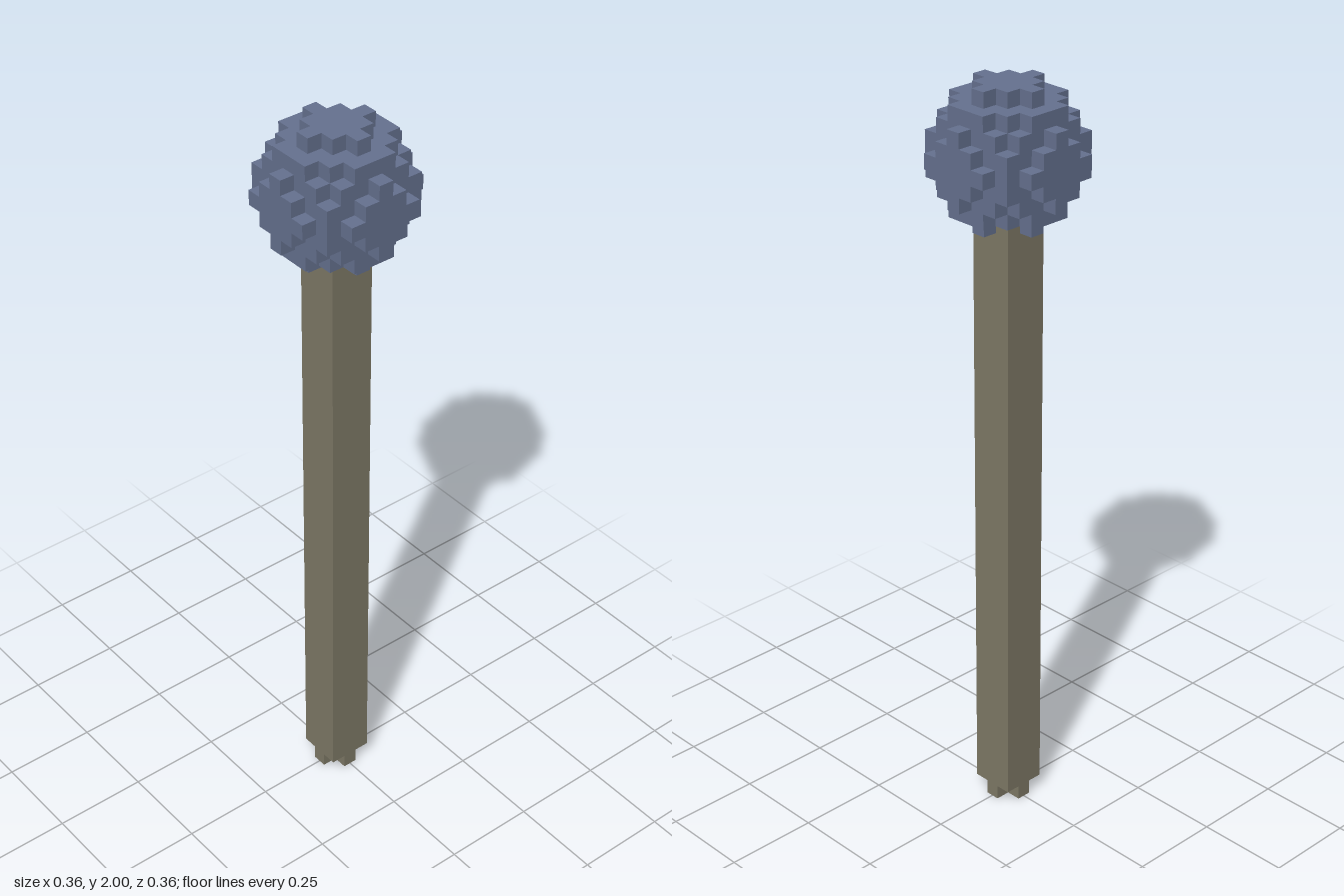
import * as THREE from 'three';
import { mergeGeometries } from 'three/addons/utils/BufferGeometryUtils.js';

const CELL = 0.04;        // edge of one cube
const HEAD_Y = 1.82;      // height of the head centre
const REACH = 4;          // head radius in cells

// Cells inside the blocky ball
const inBall = (x, y, z) => x * x + y * y + z * z <= 20;

// Cells at the bottom of the ball taken up by the shaft
const inShaft = (x, y, z) => y === -REACH && Math.abs(x) <= 1 && Math.abs(z) <= 1;

// Only the exposed cube faces of the ball
function ballGeometry() {
  const axes = [[1, 0, 0], [-1, 0, 0], [0, 1, 0], [0, -1, 0], [0, 0, 1], [0, 0, -1]];
  const forward = new THREE.Vector3(0, 0, 1);
  const sides = axes.map((a) => {
    const n = new THREE.Vector3(...a);
    const face = new THREE.PlaneGeometry(CELL, CELL);
    face.applyQuaternion(new THREE.Quaternion().setFromUnitVectors(forward, n));
    face.translate(n.x * CELL / 2, n.y * CELL / 2, n.z * CELL / 2);
    return { a, face };
  });
  const faces = [];
  for (let x = -REACH; x <= REACH; x++)
    for (let y = -REACH; y <= REACH; y++)
      for (let z = -REACH; z <= REACH; z++) {
        if (!inBall(x, y, z) || inShaft(x, y, z)) continue;
        for (const { a, face } of sides) {
          if (inBall(x + a[0], y + a[1], z + a[2])) continue;
          faces.push(face.clone().translate(x * CELL, y * CELL, z * CELL));
        }
      }
  return mergeGeometries(faces);
}

export function createModel() {
  const model = new THREE.Group();
  const slateBlue = new THREE.MeshStandardMaterial({ color: 0x667290 });
  slateBlue.name = 'slateBlue';
  const drabBrown = new THREE.MeshStandardMaterial({ color: 0x7f7a67 });
  drabBrown.name = 'drabBrown';

  const add = (name, geometry, material, x, y, z) => {
    const mesh = new THREE.Mesh(geometry, material);
    mesh.name = name;
    mesh.position.set(x, y, z);
    model.add(mesh);
  };

  // Round head built of cubes
  add('head', ballGeometry(), slateBlue, 0, HEAD_Y, 0);

  // Square shaft, reaching up into the head
  const shaftTop = HEAD_Y - 3.5 * CELL;
  const shaftHeight = shaftTop - CELL;
  add('shaft', new THREE.BoxGeometry(3 * CELL, shaftHeight, 3 * CELL), drabBrown,
    0, CELL + shaftHeight / 2, 0);

  // Cross-shaped foot under the shaft
  add('footBar', new THREE.BoxGeometry(3 * CELL, CELL, CELL), drabBrown, 0, CELL / 2, 0);
  for (const side of [1, -1])
    add(side > 0 ? 'footFront' : 'footBack', new THREE.BoxGeometry(CELL, CELL, CELL), drabBrown,
      0, CELL / 2, side * CELL);

  return model;
}
